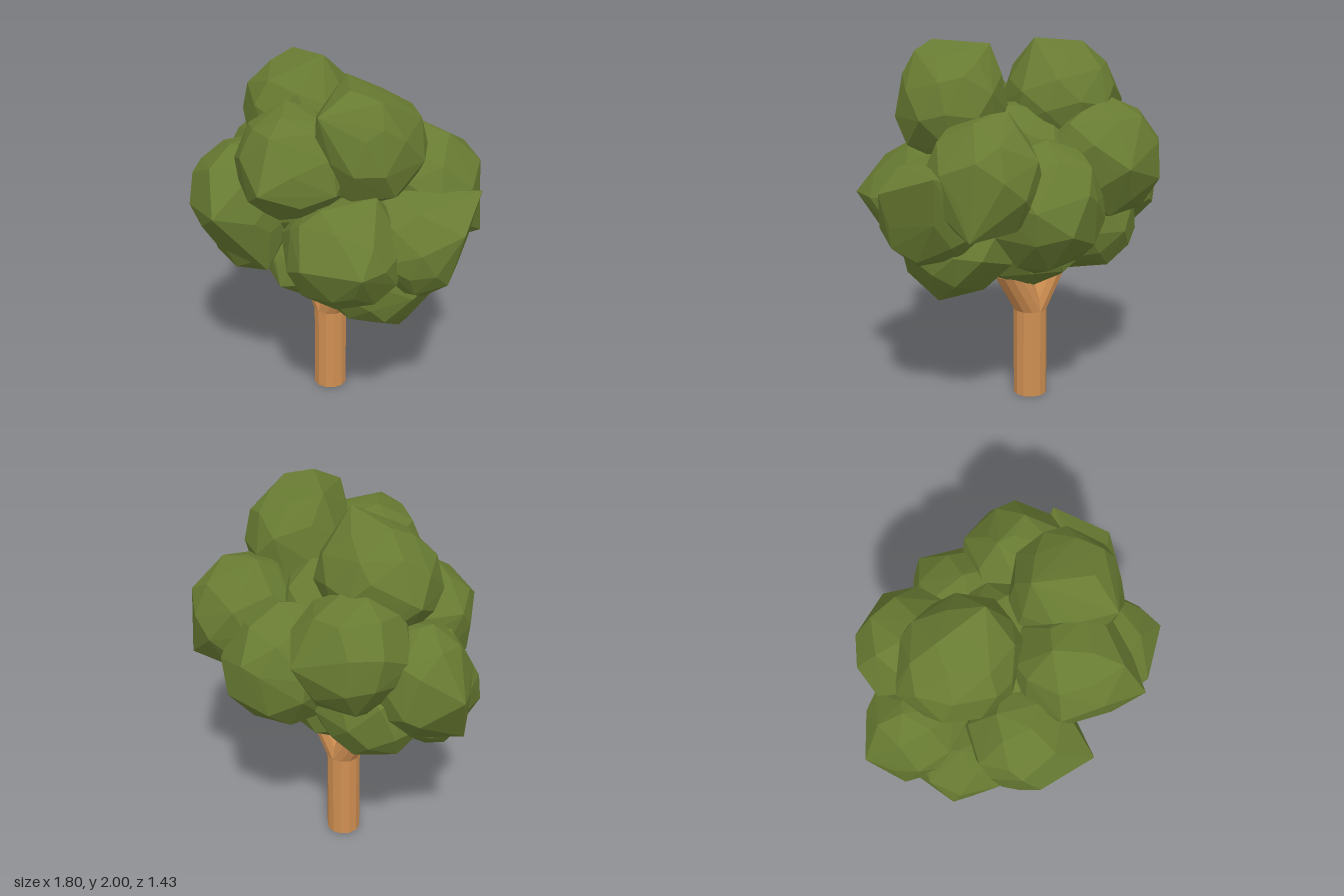
import * as THREE from 'three';
import { ConvexGeometry } from 'three/addons/geometries/ConvexGeometry.js';

// Small seeded generator, values in 0..1
function seeded(seed) {
  let s = seed;
  return () => {
    s = (s * 16807) % 2147483647;
    return s / 2147483647;
  };
}

// Irregular faceted boulder of leaves: a jittered ellipsoid plus a few jutting corners
function clumpGeometry([cx, cy, cz, rx, ry, rz], corners, seed) {
  const rand = seeded(seed * 7919 + 13);
  const count = 36;
  const turn = rand() * 6.28;
  const tilt = new THREE.Euler(rand() * 3, rand() * 3, rand() * 3);
  const points = [];
  for (let i = 0; i < count; i++) {
    const y = 1 - (2 * i + 1) / count;
    const a = i * 2.39996 + turn;
    const r = Math.sqrt(1 - y * y);
    const p = new THREE.Vector3(r * Math.cos(a), y, r * Math.sin(a));
    p.x += (rand() - 0.5) * 0.3;
    p.y += (rand() - 0.5) * 0.3;
    p.z += (rand() - 0.5) * 0.3;
    p.normalize().multiplyScalar(0.97 + rand() * 0.06).applyEuler(tilt);
    points.push(p.set(cx + p.x * rx, cy + p.y * ry, cz + p.z * rz));
  }
  corners.forEach((c) => points.push(new THREE.Vector3(...c)));
  return new ConvexGeometry(points);
}

// Leaf clumps: centre x, y, z and half sizes, then the jutting corners
const clumps = {
  topLeft: [[0.36, 1.66, 0.07, 0.3, 0.31, 0.31],
    [[0.35, 1.9, 0.41], [0.53, 1.96, 0.15], [0.38, 2, 0.22], [0.15, 1.98, 0.02]]],
  topRight: [[-0.27, 1.65, -0.06, 0.34, 0.31, 0.31],
    [[-0.09, 2, -0.05], [-0.38, 1.965, -0.1], [-0.62, 1.62, -0.16]]],
  frontUpper: [[0.11, 1.57, 0.35, 0.31, 0.29, 0.31],
    [[0.25, 1.55, 0.715], [0.2, 1.8, 0.59], [0, 1.87, 0.3], [0.43, 1.5, 0.36]]],
  frontRight: [[-0.26, 1.28, 0.36, 0.3, 0.32, 0.3],
    [[-0.11, 1.3, 0.715], [-0.47, 1.4, 0.55], [-0.03, 0.93, 0.42]]],
  frontLeft: [[0.4, 1.16, 0.28, 0.32, 0.3, 0.31],
    [[0.72, 1.18, 0.47], [0.06, 1.18, 0.4], [0.44, 1.18, 0.62], [0.55, 1.48, 0.2]]],
  left: [[0.56, 1.16, -0.06, 0.29, 0.3, 0.3],
    [[0.9, 1.3, -0.07], [0.76, 1.41, -0.36], [0.82, 1, -0.05]]],
  backLeft: [[0.42, 1.36, -0.3, 0.3, 0.32, 0.32],
    [[0.65, 1.1, -0.5], [0.3, 1.69, -0.34]]],
  back: [[0.1, 1.18, -0.37, 0.33, 0.35, 0.33],
    [[0.08, 1.3, -0.72], [0.18, 1.1, -0.72], [0.15, 0.82, -0.37]]],
  backRight: [[-0.33, 1.37, -0.34, 0.32, 0.33, 0.32],
    [[-0.22, 1.38, -0.685], [-0.5, 1.35, -0.6]]],
  right: [[-0.56, 1.2, -0.1, 0.3, 0.32, 0.29],
    [[-0.9, 1.19, -0.16], [-0.65, 1.53, -0.1], [-0.8, 0.88, 0]]],
  lowerRight: [[-0.45, 1, 0.12, 0.32, 0.31, 0.3],
    [[-0.6, 0.7, 0.12], [-0.56, 1.35, 0.2]]],
  lowerLeft: [[0.38, 0.93, 0.01, 0.31, 0.27, 0.34],
    [[0.52, 0.65, -0.02], [0.21, 0.65, 0.02], [0.68, 0.9, 0.05]]],
  lowerBackRight: [[-0.33, 1, -0.17, 0.32, 0.29, 0.3], []],
  lowerMiddle: [[-0.06, 0.92, -0.02, 0.35, 0.29, 0.35],
    [[0, 0.61, -0.05], [-0.33, 0.63, 0.05], [0, 0.82, 0.36]]],
  core: [[0, 1.3, 0, 0.42, 0.4, 0.38], []],
};

export function createModel() {
  const tree = new THREE.Group();
  tree.name = 'tree';
  const bark = new THREE.MeshStandardMaterial({ color: 0xcf8f52, flatShading: true });
  const leaves = new THREE.MeshStandardMaterial({ color: 0x687b32, flatShading: true });
  const add = (name, geometry, material, parent = tree) => {
    const mesh = new THREE.Mesh(geometry, material);
    mesh.name = name;
    parent.add(mesh);
  };

  // Trunk
  const trunkX = -0.055, trunkZ = -0.068, radius = 0.093, fork = 0.5, limbLength = 0.22;
  const trunk = new THREE.CylinderGeometry(radius, radius, fork, 12);
  trunk.translate(trunkX, fork / 2, trunkZ);
  add('trunk', trunk, bark);

  // Two limbs leaning apart from the fork, sheared so they meet the trunk flush
  for (const side of [-1, 1]) {
    const limb = new THREE.CylinderGeometry(radius, radius, limbLength, 12);
    limb.translate(0, limbLength / 2, 0);
    limb.applyMatrix4(new THREE.Matrix4().makeShear(0, 0, side * 0.6, 0, 0, 0));
    limb.translate(trunkX, fork, trunkZ);
    add(side < 0 ? 'rightLimb' : 'leftLimb', limb, bark);
  }

  // Crown
  const crown = new THREE.Group();
  crown.name = 'crown';
  tree.add(crown);
  Object.entries(clumps).forEach(([name, [body, corners]], i) => {
    add(name + 'LeafClump', clumpGeometry(body, corners, i + 1), leaves, crown);
  });
  return tree;
}
